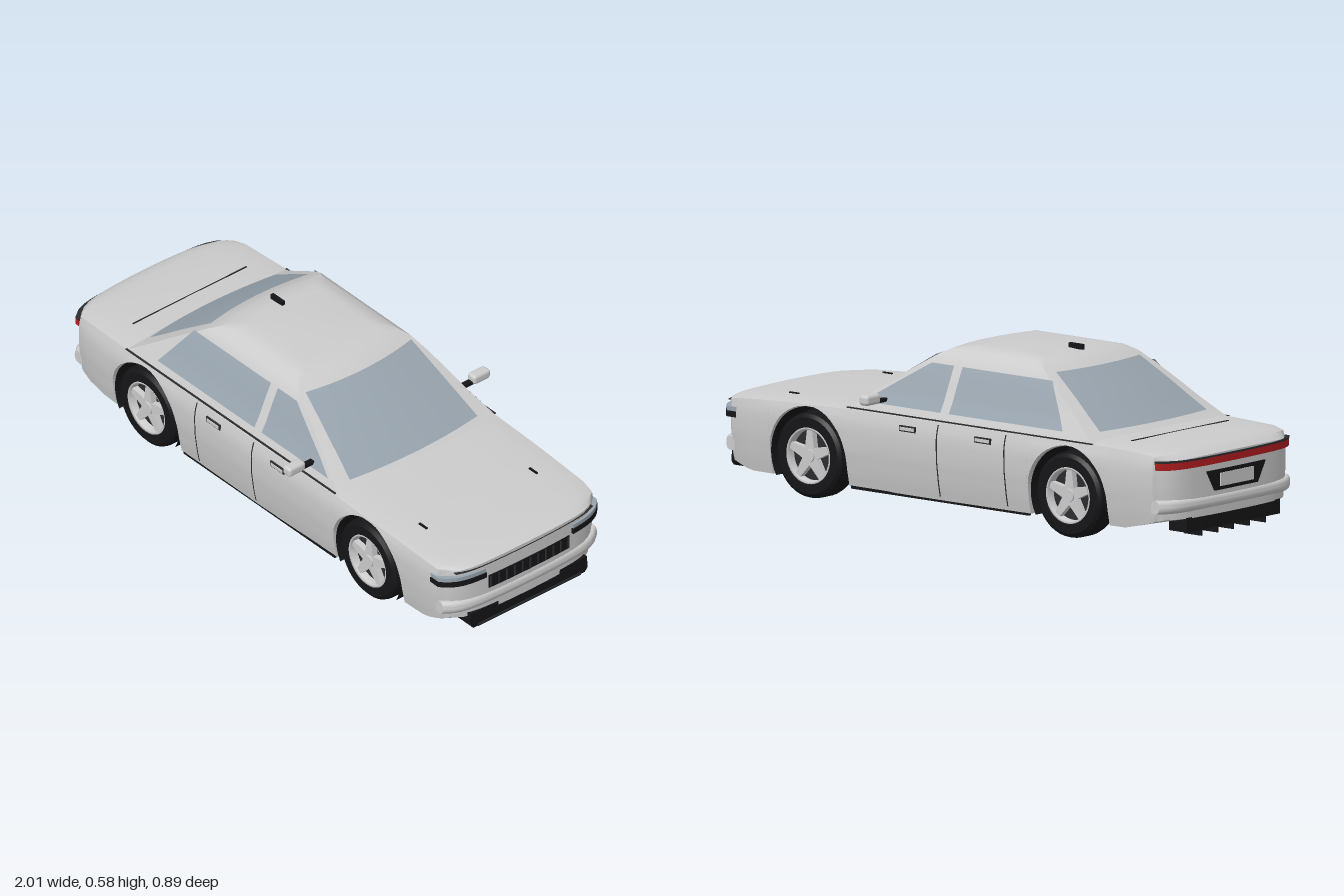
import * as THREE from 'three';
import { toCreasedNormals } from 'three/addons/utils/BufferGeometryUtils.js';
import { RoundedBoxGeometry } from 'three/addons/geometries/RoundedBoxGeometry.js';

const mat = (color) => new THREE.MeshStandardMaterial({ color, side: THREE.DoubleSide });
const paint = mat(0xcccccc), dark = mat(0x2b2c2f), black = mat(0x151517), glass = mat(0x98a4ae);
const alloy = mat(0xf4f4f4), red = mat(0xb01c20);
const { lerp, clamp } = THREE.MathUtils;

// piecewise linear lookup in [[key, value], ...]
function look(table, k) {
  let i = 0;
  while (i < table.length - 2 && k > table[i + 1][0]) i++;
  const [a, b] = [table[i], table[i + 1]];
  return lerp(a[1], b[1], clamp((k - a[0]) / (b[0] - a[0]), 0, 1));
}

// unit box whose vertices are moved by rule(u, v, s): u, v in 0..1, s in -1..1
function mould(nx, ny, nz, rule, crease = 0.55) {
  const g = new THREE.BoxGeometry(1, 1, 1, nx, ny, nz), p = g.attributes.position;
  for (let i = 0; i < p.count; i++) p.setXYZ(i, ...rule(p.getX(i) + 0.5, p.getY(i) + 0.5, p.getZ(i) * 2));
  return toCreasedNormals(g, crease);
}

const AXLES = [-0.563, 0.578], WHEEL_Y = 0.15, ARCH = 0.17;
const WIDTH = [[-0.99, 0.325], [-0.96, 0.343], [-0.88, 0.356], [-0.65, 0.366], [0, 0.371], [0.6, 0.363], [0.88, 0.354], [0.96, 0.343], [0.99, 0.325]];
const TOP = [[-0.99, 0.312], [-0.96, 0.332], [-0.89, 0.342], [-0.65, 0.348], [0.4, 0.342], [0.7, 0.333], [0.9, 0.322], [0.96, 0.314], [0.99, 0.303]];
const FLOOR = [[-0.99, 0.105], [-0.8, 0.067], [0.85, 0.067], [0.99, 0.1]];
const TUCK = [[0.06, 0.93], [0.12, 0.965], [0.2, 0.995], [0.27, 1], [0.3, 0.99], [0.33, 0.965], [0.35, 0.95]];
const bow = (s) => 0.015 * s * s + 0.045 * s ** 8; // plan curve of nose and tail

// lower body with wheel arches
function bodyGeometry() {
  const st = [-0.99, -0.975, -0.96, -0.93, -0.88, -0.8, -0.3, -0.2, -0.1, 0, 0.1, 0.2, 0.3, 0.8, 0.84, 0.88, 0.93, 0.96, 0.975, 0.99].map((x) => [x, 0]);
  for (const c of AXLES) {
    for (const e of [-1, 1]) st.push([c + e * (ARCH + 0.001), 0]);
    for (let i = 0; i <= 24; i++) {
      const a = (Math.PI * i) / 24;
      st.push([c - ARCH * Math.cos(a), WHEEL_Y + ARCH * Math.sin(a)]);
    }
  }
  st.sort((a, b) => a[0] - b[0]);
  const n = st.length - 1;
  return mould(n, 10, 18, (u, v, q) => {
    const [x, arch] = st[Math.round(u * n)], s = Math.sin((q * Math.PI) / 2);
    const edge = look(TOP, x) - 0.012, top = look(TOP, x) - 0.006 * s * s - 0.006 * s ** 8;
    const y = lerp(Math.min(arch || look(FLOOR, x), edge - 0.006), top, v);
    const ramp = clamp((Math.abs(x) - 0.8) / 0.19, 0, 1) ** 2;
    return [x + Math.sign(x) * ramp * (0.01 - bow(s)), y, s * look(WIDTH, x) * look(TUCK, y)];
  });
}

// cabin surface: k runs tail to nose, s right to left
const ROWS = [0.32, 0.345, 0.4, 0.45, 0.5, 0.54, 0.56, 0.57];
const curve = (vals) => ROWS.map((y, i) => [y, vals[i]]);
const CAB_W = curve([0.352, 0.342, 0.312, 0.29, 0.267, 0.243, 0.215, 0.17]);
const CAB_R = curve([-0.73, -0.68, -0.6, -0.53, -0.455, -0.395, -0.355, -0.31]);
const CAB_F = curve([0.475, 0.43, 0.347, 0.27, 0.192, 0.128, 0.09, 0.04]);
function cab(k, y, s) {
  const r = look(CAB_R, y), f = look(CAB_F, y);
  return [lerp(r, f, (k + 1) / 2) - 0.03 * k * s * s, y, s * look(CAB_W, y)];
}
function cabinGeometry() {
  const n = ROWS.length - 1;
  return mould(16, n, 16, (u, v, s) => {
    const k = 2 * u - 1, p = cab(k, ROWS[Math.round(v * n)], s);
    if (v > 0.99) p[1] += 0.006 * (1 - s * s) * (1 - k * k);
    return p;
  }, 0.6);
}

// curved sheet from rule(u, v) with u, v in 0..1
function sheet(rule, nu = 12, nv = 8) {
  const g = new THREE.PlaneGeometry(1, 1, nu, nv), p = g.attributes.position;
  for (let i = 0; i < p.count; i++) p.setXYZ(i, ...rule(p.getX(i) + 0.5, p.getY(i) + 0.5));
  g.computeVertexNormals();
  return g;
}
const screen = (end, y0, y1, z0, z1) => sheet((u, v) => {
  const y = lerp(y0, y1, v), z = lerp(z0, z1, v) * (2 * u - 1), p = cab(end, y, z / look(CAB_W, y));
  return [p[0] + end * 0.003, y + 0.003, z];
});
const sideGlass = (side, a, b, c, d) => sheet((u, v) => {
  const y = lerp(0.36, 0.51, v);
  return [lerp(lerp(a, b, u), lerp(d, c, u), v), y + 0.001, side * (look(CAB_W, y) + 0.003)];
});

// strip following the curve of the nose (end 1) or tail (end -1)
const strip = (end, y0, y1, z0, z1, out = 0.006, depth = 0.03) => mould(1, 1, 20, (u, v, s) => {
  const z = lerp(z0, z1, (s + 1) / 2);
  return [end * (1 + out - bow(z / 0.342)) - (end > 0 ? 1 - u : -u) * depth, lerp(y0, y1, v), z];
});

function wheel() {
  const g = new THREE.Group();
  const turn = (pts) => new THREE.LatheGeometry(pts.map((p) => new THREE.Vector2(...p)), 40).rotateX(Math.PI / 2);
  const put = (name, geo, m) => { const o = new THREE.Mesh(geo, m); o.name = name; g.add(o); };
  put('tyre', toCreasedNormals(turn([[0.088, -0.05], [0.13, -0.05], [0.142, -0.04], [0.146, -0.025], [0.146, 0.025], [0.142, 0.04], [0.13, 0.05], [0.098, 0.05], [0.092, 0.04]]), 0.6), black);
  put('rimLip', turn([[0.086, 0.02], [0.088, 0.046], [0.095, 0.05], [0.097, 0.044]]), alloy);
  put('rimBack', new THREE.CylinderGeometry(0.091, 0.091, 0.06, 32).rotateX(Math.PI / 2).translate(0, 0, -0.015), dark);
  put('hub', new THREE.CylinderGeometry(0.022, 0.026, 0.03, 20).rotateX(Math.PI / 2).translate(0, 0, 0.032), alloy);
  const spoke = new THREE.Shape([[-0.022, 0.008], [0.022, 0.008], [0.011, 0.09], [-0.011, 0.09]].map((p) => new THREE.Vector2(...p)));
  for (let i = 0; i < 5; i++)
    put('spoke', new THREE.ExtrudeGeometry(spoke, { depth: 0.022, bevelEnabled: false }).translate(0, 0, 0.02).rotateZ((i * Math.PI * 2) / 5), alloy);
  return g;
}

export function createModel() {
  const car = new THREE.Group();
  car.name = 'car';
  const add = (name, geo, m = paint) => { const o = new THREE.Mesh(geo, m); o.name = name; car.add(o); return o; };
  const box = (name, w, h, d, x, y, z, m) => add(name, new THREE.BoxGeometry(w, h, d).translate(x, y, z), m);

  add('body', bodyGeometry());
  add('cabin', cabinGeometry());
  add('windscreen', screen(1, 0.352, 0.533, 0.28, 0.232), glass);
  add('rearWindow', screen(-1, 0.362, 0.528, 0.275, 0.215), glass);
  box('roofAerial', 0.06, 0.018, 0.012, -0.3, 0.579, 0, black);
  box('bootSeam', 0.004, 0.003, 0.5, -0.755, 0.345, 0, dark);

  // wheels and wells
  for (const x of AXLES) {
    add('wheelWell', new THREE.CylinderGeometry(ARCH - 0.004, ARCH - 0.004, 0.7, 32, 1, true, 1.05, 4.18).rotateX(Math.PI / 2).translate(x, WHEEL_Y, 0), black);
    const wall = new THREE.Shape().absarc(0, 0, ARCH - 0.003, -0.51, Math.PI + 0.51);
    for (const side of [-1, 1]) {
      add('wellWall', new THREE.ShapeGeometry(wall, 24).translate(x, WHEEL_Y, side * 0.225), black);
      const w = wheel();
      w.name = 'wheel';
      w.position.set(x, WHEEL_Y, side * 0.305);
      if (side < 0) w.rotation.y = Math.PI;
      car.add(w);
    }
  }

  // side details, mirrored
  for (const side of [-1, 1]) {
    add('rearSideWindow', sideGlass(side, -0.525, -0.025, -0.025, -0.42), glass);
    add('frontSideWindow', sideGlass(side, 0.012, 0.355, 0.11, 0.012), glass);
    for (const x of [-0.2, 0.13]) {
      box('handleRecess', 0.072, 0.02, 0.006, x, 0.296, side * 0.367, dark);
      box('doorHandle', 0.06, 0.011, 0.012, x, 0.296, side * 0.367, alloy);
    }
    for (const x of [-0.295, 0]) {
      add('doorSeam', sheet((u, v) => {
        const y = lerp(0.08, 0.325, v);
        return [x + (u - 0.5) * 0.005, y, side * (look(WIDTH, x) * look(TUCK, y) + 0.001)];
      }, 1, 14), dark);
    }
    box('beltLine', 1.08, 0.004, 0.006, -0.13, 0.336, side * 0.351, dark);
    box('sill', 0.78, 0.01, 0.012, 0.008, 0.064, side * 0.338, black);
    box('mirrorArm', 0.02, 0.012, 0.07, 0.262, 0.376, side * 0.345, black);
    add('mirror', new RoundedBoxGeometry(0.04, 0.036, 0.074, 3, 0.012).translate(0.262, 0.387, side * 0.406));
    box('bonnetJet', 0.04, 0.004, 0.008, 0.735, 0.331, side * 0.242, black);
    // lamps
    add('headlampHousing', strip(1, 0.242, 0.262, side > 0 ? 0.19 : -0.35, side > 0 ? 0.35 : -0.19, 0.008, 0.04), black);
    add('headlamp', strip(1, 0.26, 0.277, side > 0 ? 0.192 : -0.348, side > 0 ? 0.348 : -0.192, 0.005, 0.04), glass);
  }

  // nose
  add('grille', strip(1, 0.19, 0.24, -0.177, 0.177, 0.003), black);
  for (let i = 0; i <= 10; i++) add('grilleBar', strip(1, 0.194, 0.236, i * 0.034 - 0.172, i * 0.034 - 0.168, 0.007), dark);
  add('bonnetLine', strip(1, 0.288, 0.291, -0.3, 0.3, 0.001), dark);
  const intake = new THREE.Shape([[-0.245, 0.056], [0.245, 0.056], [0.257, 0.07], [0.255, 0.116], [-0.255, 0.116], [-0.257, 0.07]].map((p) => new THREE.Vector2(...p)));
  add('frontIntake', new THREE.ExtrudeGeometry(intake, { depth: 0.1, bevelEnabled: false }).rotateY(Math.PI / 2).translate(0.897, 0, 0), black);
  box('splitter', 0.1, 0.01, 0.45, 0.95, 0.06, 0, dark);

  // bumpers with a rounded face
  for (const end of [-1, 1]) {
    add(end > 0 ? 'frontBumper' : 'rearBumper', mould(6, 8, 24, (u, v, s) => {
      const z = s * 0.338, a = (v - 0.5) * Math.PI, t = end > 0 ? u : 1 - u;
      return [end * (0.97 + t * (0.021 + 0.016 * Math.cos(a)) - bow(z / 0.342)), 0.15 + 0.023 * Math.sin(a), z];
    }));
  }

  // tail
  add('tailLamp', strip(-1, 0.276, 0.3, -0.335, 0.335, 0.002, 0.03), red);
  add('tailLampTrim', strip(-1, 0.3, 0.306, -0.335, 0.335, 0.003, 0.03), dark);
  const recess = new THREE.Shape([[-0.15, 0.255], [0.15, 0.255], [0.11, 0.185], [-0.11, 0.185]].map((p) => new THREE.Vector2(...p)));
  add('plateRecess', new THREE.ExtrudeGeometry(recess, { depth: 0.012, bevelEnabled: false }).rotateY(-Math.PI / 2).translate(-0.992, 0, 0), black);
  box('plate', 0.006, 0.045, 0.17, -1.004, 0.22, 0, paint);
  box('diffuser', 0.08, 0.05, 0.48, -0.95, 0.083, 0, black);
  for (let i = -2; i <= 2; i++) box('diffuserFin', 0.075, 0.05, 0.006, -0.953, 0.063, i * 0.082, black);

  return car;
}
